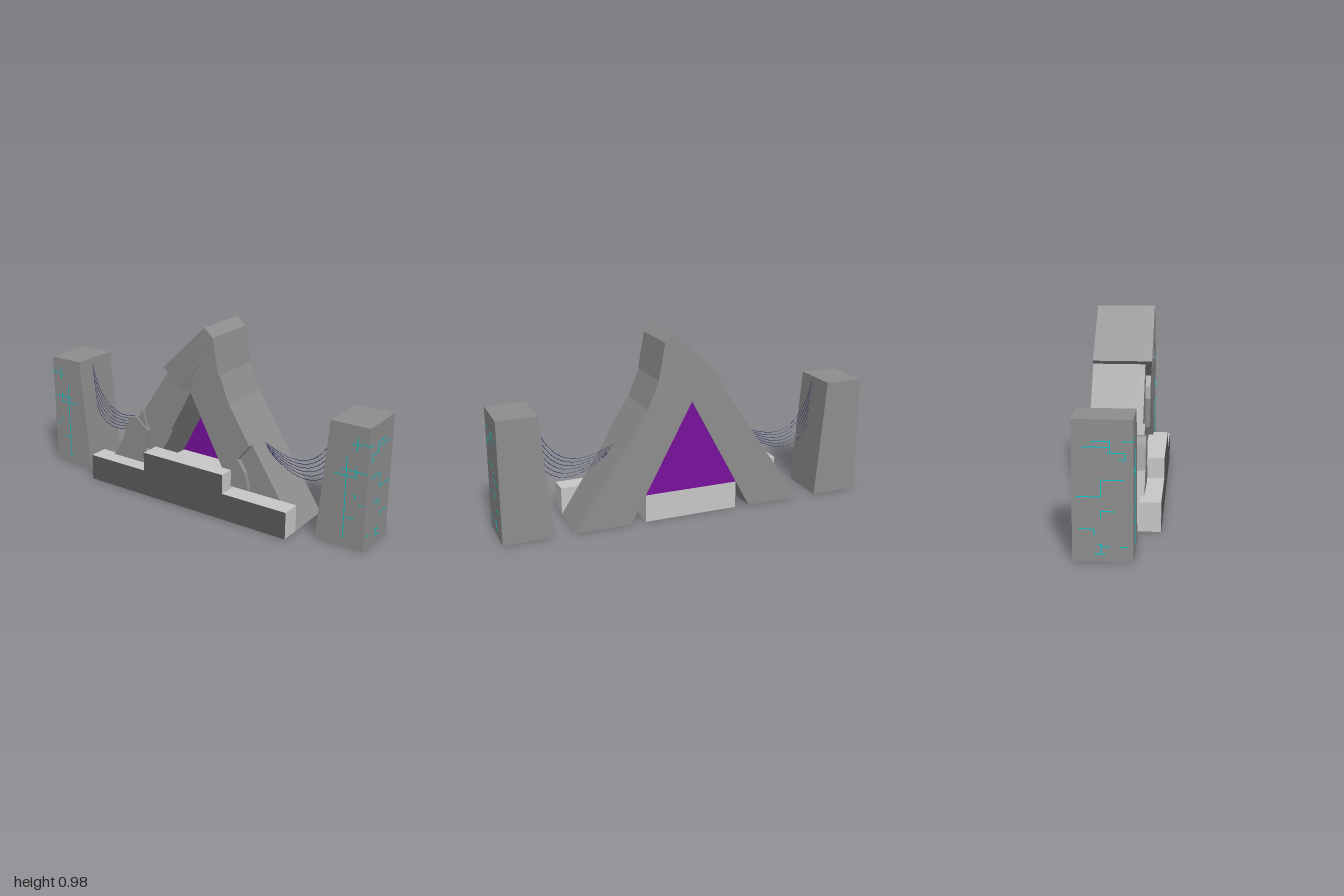
import * as THREE from 'three';

const paint = (name, color, extra = {}) => {
  const m = new THREE.MeshStandardMaterial({ color, ...extra });
  m.name = name;
  return m;
};

export function createModel() {
  const stone = paint('stone', 0x8e8e8e);
  const paleStone = paint('paleStone', 0xc8c8c8);
  const darkStone = paint('darkStone', 0x5a5a5a);
  const portalPurple = paint('portalPurple', 0x780f9c, { side: THREE.DoubleSide });
  const circuitCyan = paint('circuitCyan', 0x00ced1);
  const cableNavy = paint('cableNavy', 0x20205c);

  const model = new THREE.Group();
  model.name = 'portalGate';

  const add = (name, geo, mat, parent = model) => {
    const mesh = new THREE.Mesh(geo, mat);
    mesh.name = name;
    parent.add(mesh);
    return mesh;
  };
  const outline = (pts) => new THREE.Shape(pts.map(([x, y]) => new THREE.Vector2(x, y)));
  // Flat outline in x/y, extruded between two depths
  const slab = (pts, z0, z1) =>
    new THREE.ExtrudeGeometry(outline(pts), { depth: z1 - z0, bevelEnabled: false }).translate(0, 0, z0);
  const box = (x0, x1, y0, y1, z0, z1) =>
    new THREE.BoxGeometry(x1 - x0, y1 - y0, z1 - z0).translate((x0 + x1) / 2, (y0 + y1) / 2, (z0 + z1) / 2);

  // Leaning arch with a triangular opening
  const back = -0.185, front = 0.08;
  add('archBody', slab([
    [-0.63, 0], [-0.335, 0], [0, 0.62], [0.335, 0], [0.63, 0], [0.24, 0.6], [0.18, 0.745],
    [0.145, 0.935], [0.095, 0.98], [-0.165, 0.73], [-0.15, 0.712],
  ], back, front), stone);

  // Raised broken layers on the arch front
  add('rightArchLayer', slab([
    [0, 0.62], [0.248, 0.16], [0.36, 0.16], [0.34, 0.25], [0.295, 0.315], [0.365, 0.405],
    [0.24, 0.6], [0.18, 0.745], [0.07, 0.78], [0.025, 0.74],
  ], front, 0.105), stone);

  const cap = slab([
    [-0.165, 0.73], [-0.08, 0.64], [-0.115, 0.59], [-0.135, 0.53], [-0.13, 0.38], [0, 0.62],
    [0.025, 0.74], [0.07, 0.78], [0.18, 0.745], [0.145, 0.935], [0.095, 0.98],
  ], front, 0.115);
  const p = cap.attributes.position;
  for (let i = 0; i < p.count; i++) {
    // The cap face slopes back toward the opening
    if (p.getZ(i) > 0.1) p.setZ(i, 0.115 - 0.01 * THREE.MathUtils.clamp((0.73 - p.getY(i)) / 0.1, 0, 1));
  }
  cap.computeVertexNormals();
  add('archCap', cap, stone);

  add('leftFootRock', slab([
    [-0.54, 0.14], [-0.31, 0.14], [-0.26, 0.2], [-0.31, 0.23], [-0.29, 0.34], [-0.37, 0.4],
    [-0.395, 0.4], [-0.43, 0.37], [-0.47, 0.25],
  ], 0.04, 0.1), stone);
  add('leftCrackRock', slab([[-0.385, 0.375], [-0.29, 0.34], [-0.305, 0.37], [-0.333, 0.45]], front, 0.09), stone);

  // Stepped base with a dark front face
  const step = [
    [-0.63, 0], [0.63, 0], [0.63, 0.145], [0.255, 0.145], [0.255, 0.25], [-0.255, 0.25], [-0.255, 0.145], [-0.63, 0.145],
  ];
  add('baseSteps', slab(step, front, 0.184), paleStone);
  add('baseFront', new THREE.ShapeGeometry(outline(step)).translate(0, 0, 0.185), darkStone);
  add('portalFloor', box(-0.255, 0.255, 0, 0.145, -0.183, front), paleStone);

  // Glowing portal sheet
  add('portal', new THREE.ShapeGeometry(outline([[-0.257, 0.145], [0.257, 0.145], [0, 0.62]])).translate(0, 0, -0.18), portalPurple);

  // Circuit strokes: horizontals are [from, to, y], verticals are [at, y0, y1]
  const w = 0.002;
  const frontH = [[0.83, 0.95, 0.375], [0.86, 1, 0.405], [0.91, 0.96, 0.54], [0.96, 1, 0.55], [0.9, 0.94, 0.16], [0.96, 0.99, 0.24]];
  const frontV = [[0.89, 0.04, 0.48], [0.94, 0.51, 0.58], [0.94, 0.375, 0.43], [0.94, 0.26, 0.29]];
  const sideH = [
    [0.03, 0.08, 0.54], [-0.1, -0.02, 0.54], [-0.14, -0.02, 0.515], [-0.03, 0.045, 0.49], [0.02, 0.045, 0.46],
    [-0.06, 0.04, 0.37], [-0.17, -0.06, 0.295], [-0.06, 0, 0.23], [-0.155, -0.09, 0.15], [0.02, 0.06, 0.07],
    [-0.06, -0.02, 0.07], [-0.075, -0.055, 0.08], [-0.09, -0.04, 0.035],
  ];
  const sideV = [[-0.02, 0.49, 0.54], [0.045, 0.46, 0.49], [-0.06, 0.295, 0.37], [-0.06, 0.2, 0.23], [-0.09, 0.12, 0.15], [-0.06, 0.035, 0.08]];

  for (const s of [1, -1]) {
    const side = s > 0 ? 'left' : 'right';

    // Pillar with a sloped inner face
    const profile = [[s * 0.74, 0], [s, 0], [s, 0.635], [s * 0.795, 0.635]];
    add(side + 'Pillar', slab(profile, back, front), stone);

    const circuits = new THREE.Group();
    circuits.name = side + 'PillarCircuits';
    model.add(circuits);
    const frontStroke = (x0, x1, y0, y1) =>
      add('frontCircuit', box(Math.min(s * x0, s * x1), Math.max(s * x0, s * x1), y0, y1, front, front + 0.001), circuitCyan, circuits);
    const sideStroke = (z0, z1, y0, y1) =>
      add('sideCircuit', box(s * 1.0 - 0.001, s * 1.0 + 0.001, y0, y1, z0, z1), circuitCyan, circuits);
    for (const [a, b, y] of frontH) frontStroke(a, b, y - w, y + w);
    for (const [x, a, b] of frontV) frontStroke(x - w, x + w, a, b);
    for (const [a, b, y] of sideH) sideStroke(a, b, y - w, y + w);
    for (const [z, a, b] of sideV) sideStroke(z - w, z + w, a, b);

    // Sagging cables from the pillar to the arch
    const cables = new THREE.Group();
    cables.name = side + 'Cables';
    model.add(cables);
    for (let i = 0; i < 6; i++) {
      const y0 = 0.61 - i * 0.05;
      const y1 = 0.39 - i * 0.009;
      const low = 0.3 - i * 0.018;
      const at = (x, y) => new THREE.Vector3(s * x, y, -0.025);
      const curve = new THREE.CubicBezierCurve3(
        at(0.8 - 0.095 * (0.635 - y0) - 0.002, y0), at(0.72, low), at(0.56, low), at(0.63 - y1 * 0.65, y1));
      add('cable', new THREE.TubeGeometry(curve, 20, 0.0014, 5), cableNavy, cables);
    }
  }

  return model;
}
